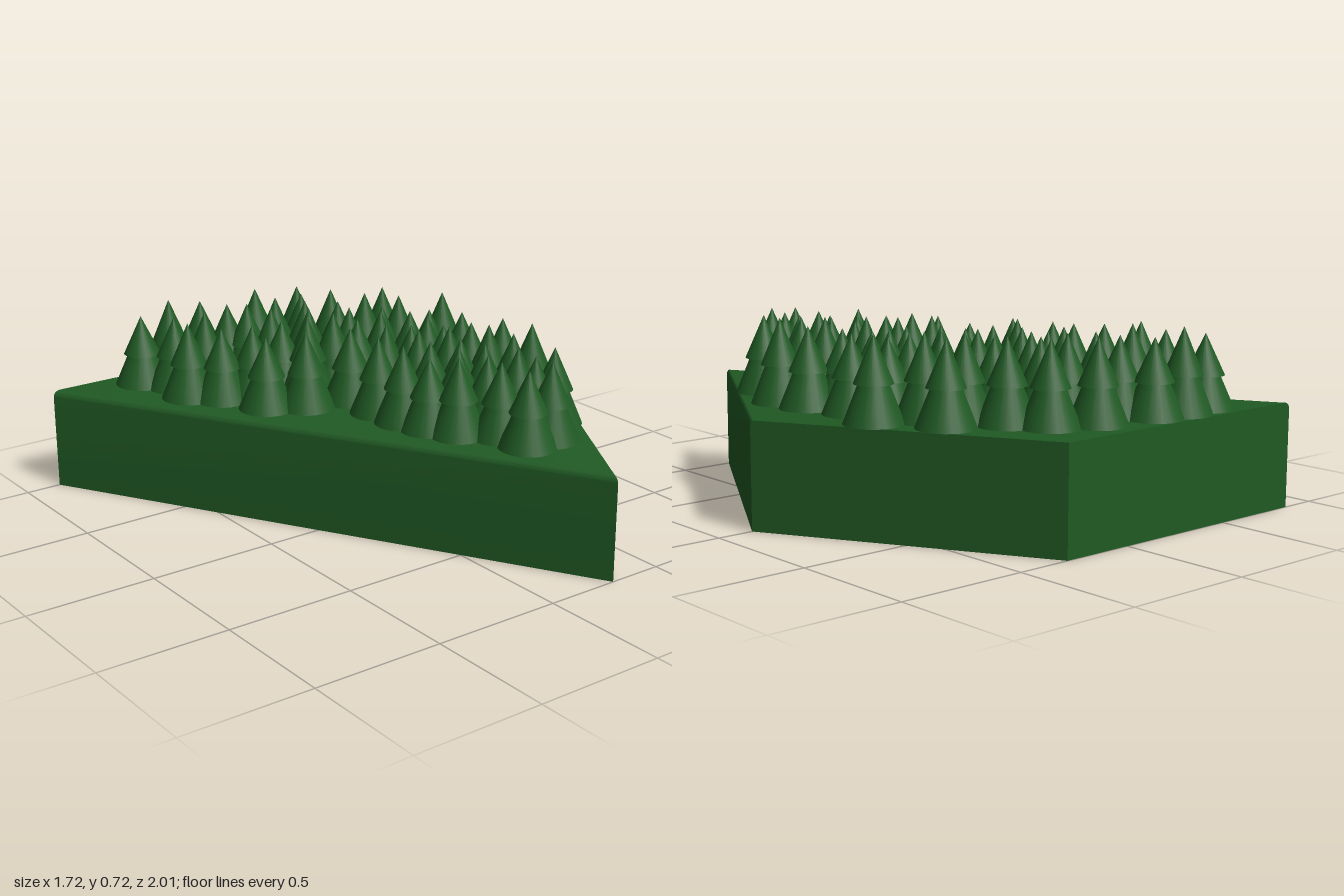
import * as THREE from 'three';
import { toCreasedNormals } from 'three/addons/utils/BufferGeometryUtils.js';

const TOP = 0.4;
const OUTLINE = [[-0.86, -1], [0.287, -1], [0.86, 0], [0.287, 1]];
// Corners of the flat top, inside the rounding of the long and front edges
const INNER = [[-0.831, -1], [0.287, -1], [0.853, -0.012], [0.294, 0.963]];

// Tree positions [x, z] in hundredths of a unit
const TREES = [
  [-52, -88], [-38, -90], [-24, -89], [-44, -76], [-34, -69], [-46, -62], [-18, -78], [0, -85],
  [16, -78], [-13, -71], [0, -70], [12, -69], [24, -65], [-37, -52], [-26, -47], [-10, -58],
  [7, -59], [-11, -49], [2, -49], [19, -53], [31, -51], [43, -55], [-29, -33], [-16, -25],
  [-7, -37], [6, -38], [16, -41], [28, -35], [40, -40], [57, -33], [2, -21], [12, -30],
  [22, -28], [35, -26], [44, -25], [51, -13], [36, -16], [24, -11], [11, -10], [2, -3],
  [19, 0], [30, 5], [36, -6], [45, 0], [56, 6], [3, 11], [16, 11], [29, 13],
  [43, 13], [6, 23], [20, 23], [31, 25], [45, 25], [57, 22], [11, 34], [24, 35],
  [37, 37], [22, 45], [36, 48], [48, 45], [23, 59], [35, 58],
];

// Hollow half-hexagon tile: walls, rounded rim and top, open underneath
function tileGeometry() {
  const steps = 5, round = 0.025, pos = [], idx = [];
  const addRing = (y, t) => OUTLINE.forEach(([x, z], i) => pos.push(
    THREE.MathUtils.lerp(x, INNER[i][0], t), y, THREE.MathUtils.lerp(z, INNER[i][1], t)));
  addRing(0, 0);
  for (let k = 0; k <= steps; k++) {
    const a = (k / steps) * Math.PI / 2;
    addRing(TOP - round + round * Math.sin(a), 1 - Math.cos(a));
  }
  for (let r = 0; r <= steps; r++) {
    for (let i = 0; i < 4; i++) {
      const a = r * 4 + i, b = r * 4 + (i + 1) % 4;
      idx.push(a, a + 4, b, b, a + 4, b + 4);
    }
  }
  const t = (steps + 1) * 4;
  idx.push(t, t + 2, t + 1, t, t + 3, t + 2);
  const geo = new THREE.BufferGeometry();
  geo.setAttribute('position', new THREE.Float32BufferAttribute(pos, 3));
  geo.setIndex(idx);
  return toCreasedNormals(geo, Math.PI / 6);
}

export function createModel() {
  const model = new THREE.Group();
  model.name = 'forestTile';
  const green = new THREE.MeshStandardMaterial({ color: 0x205a24 });
  const shellGreen = green.clone();
  shellGreen.side = THREE.DoubleSide;

  const tile = new THREE.Mesh(tileGeometry(), shellGreen);
  tile.name = 'tile';
  model.add(tile);

  // Two-tier conifer: flared skirt below, pointed cone above
  const skirtGeo = new THREE.CylinderGeometry(0.055, 0.11, 0.135, 24).translate(0, 0.0675, 0);
  const crownGeo = new THREE.ConeGeometry(0.072, 0.165, 24).translate(0, 0.2175, 0);

  let seed = 7;
  const random = () => (seed = (seed * 16807) % 2147483647) / 2147483647;

  const forest = new THREE.Group();
  forest.name = 'forest';
  for (const [x, z] of TREES) {
    const tree = new THREE.Group();
    tree.name = 'tree';
    const skirt = new THREE.Mesh(skirtGeo, green);
    skirt.name = 'lowerBranches';
    const crown = new THREE.Mesh(crownGeo, green);
    crown.name = 'upperBranches';
    tree.add(skirt, crown);
    tree.position.set(x / 100, TOP, z / 100);
    tree.scale.y = 0.92 + 0.14 * random();
    forest.add(tree);
  }
  model.add(forest);
  return model;
}
